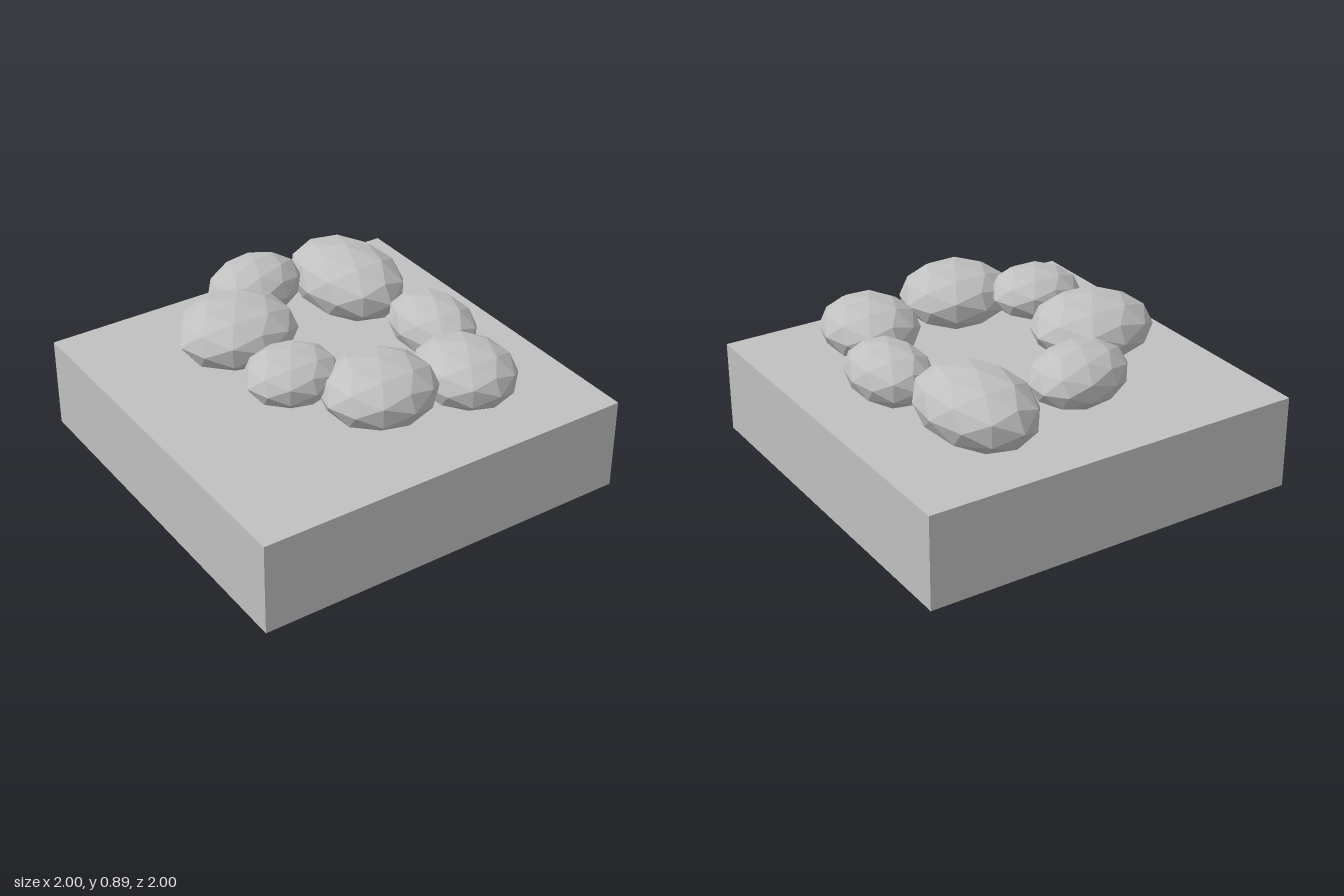
import * as THREE from 'three';

export function createModel() {
  const model = new THREE.Group();
  const stoneGrey = new THREE.MeshStandardMaterial({ color: 0xc0c0c0, flatShading: true });
  stoneGrey.name = 'stoneGrey';

  // Square ground slab
  const slab = new THREE.Mesh(new THREE.BoxGeometry(2, 0.48, 2), stoneGrey);
  slab.name = 'groundSlab';
  slab.position.y = 0.24;
  model.add(slab);

  // Ring of flattened, faceted stones, higher on the right hand side of the model
  const ring = new THREE.Group();
  ring.name = 'stoneRing';
  const stones = [
    // centre, radii, turn about y
    { at: [-0.375, 0.73, -0.24], size: [0.31, 0.16, 0.28], turn: 0 },
    { at: [-0.05, 0.7, -0.6], size: [0.28, 0.145, 0.212], turn: 0.35 },
    { at: [0.45, 0.635, -0.5], size: [0.26, 0.185, 0.362], turn: 0.08 },
    { at: [0.58, 0.6, 0.07], size: [0.2, 0.15, 0.27], turn: 0 },
    { at: [0.425, 0.62, 0.535], size: [0.247, 0.155, 0.278], turn: 0 },
    { at: [-0.065, 0.69, 0.515], size: [0.29, 0.16, 0.275], turn: 0.05 },
    { at: [-0.37, 0.73, 0.245], size: [0.238, 0.13, 0.216], turn: 0 },
  ];
  const stoneShape = new THREE.IcosahedronGeometry(1, 1);
  stones.forEach(({ at, size, turn }, i) => {
    const stone = new THREE.Mesh(stoneShape, stoneGrey);
    stone.name = `stone${i + 1}`;
    stone.position.set(...at);
    stone.scale.set(...size);
    stone.rotation.y = turn;
    ring.add(stone);
  });
  model.add(ring);
  return model;
}
